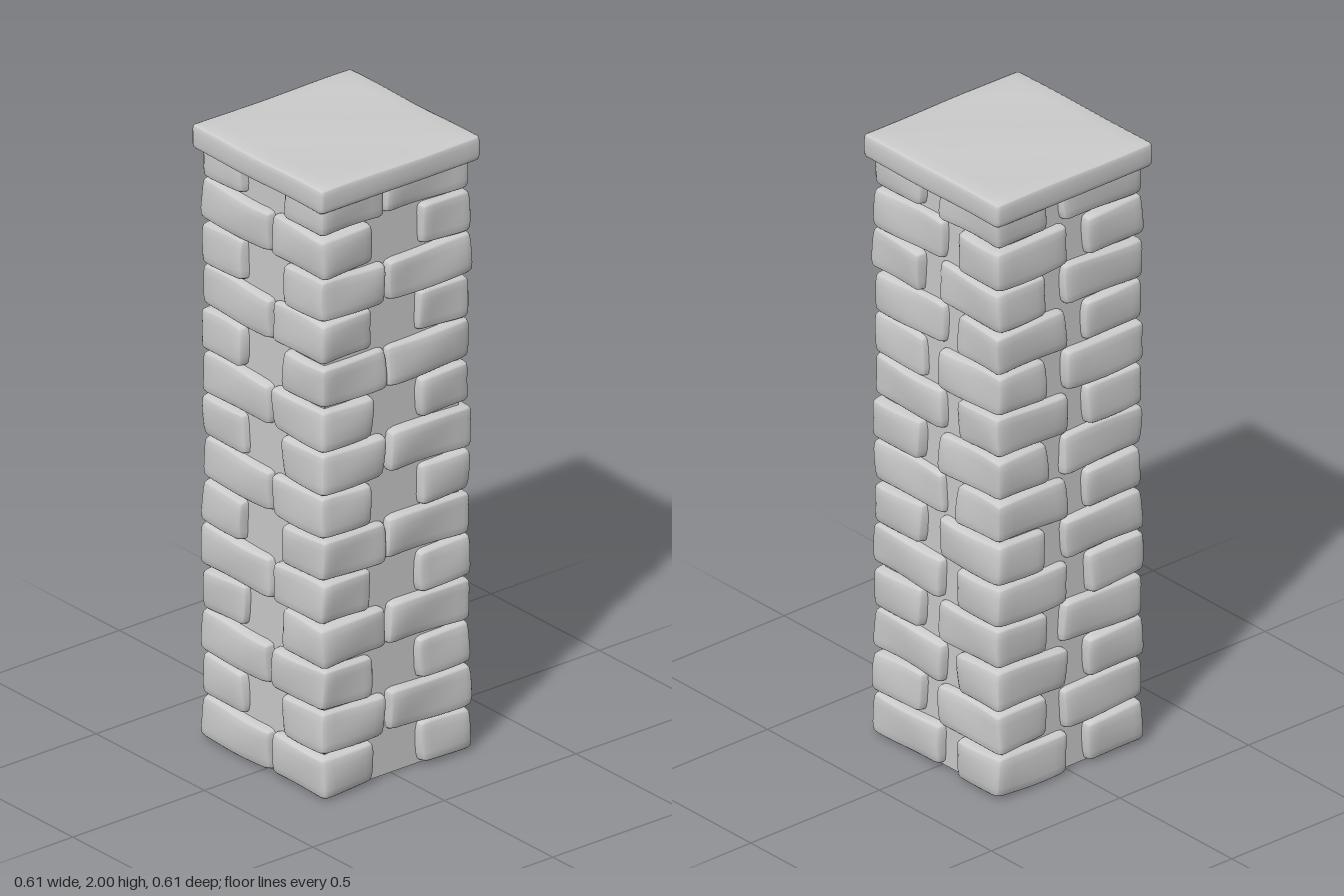
import * as THREE from 'three';
import { mergeVertices } from 'three/addons/utils/BufferGeometryUtils.js';

const COURSES = 14;
const PITCH = 0.1403;
const HALF = 0.286;

// Small seeded generator, returns -1..1
function makeRandom(seed) {
  let s = seed;
  return () => {
    s = (s * 16807) % 2147483647;
    return (s / 2147483647) * 2 - 1;
  };
}

// Hand-worn stone block: box vertices crowded towards the edges, rounded, then gently waved
function stoneGeometry(w, h, d, radius, wobble, phase) {
  let geo = new THREE.BoxGeometry(2, 2, 2, 10, 6, 10);
  geo.deleteAttribute('uv');
  geo.deleteAttribute('normal');
  geo = mergeVertices(geo);
  const half = new THREE.Vector3(w / 2, h / 2, d / 2);
  const inner = half.clone().subScalar(radius);
  const outer = inner.clone().negate();
  const pos = geo.attributes.position;
  const p = new THREE.Vector3();
  const c = new THREE.Vector3();
  for (let i = 0; i < pos.count; i++) {
    p.fromBufferAttribute(pos, i);
    p.set(Math.sin(p.x * Math.PI / 2), Math.sin(p.y * Math.PI / 2), Math.sin(p.z * Math.PI / 2));
    p.multiply(half);
    c.copy(p).clamp(outer, inner);
    p.sub(c).setLength(radius).add(c);
    const { x, y, z } = p;
    p.x += wobble * Math.sin(13 * z + 22 * y + phase);
    p.y += wobble * Math.sin(15 * x + 12 * z + phase * 1.7);
    p.z += wobble * Math.sin(14 * x - 20 * y + phase * 2.3);
    pos.setXYZ(i, p.x, p.y, p.z);
  }
  geo.computeVertexNormals();
  return geo;
}

export function createModel() {
  const group = new THREE.Group();
  const stone = new THREE.MeshStandardMaterial({ color: 0xcccccc });
  const random = makeRandom(4711);

  const add = (parent, name, geo, x, y, z) => {
    const mesh = new THREE.Mesh(geo, stone);
    mesh.name = name;
    mesh.position.set(x, y, z);
    parent.add(mesh);
  };

  // Mortar core, set back behind the bricks
  add(group, 'core', new THREE.BoxGeometry(0.51, 1.92, 0.51), 0, 0.965, 0);

  // Corner bricks of one course: corner signs, then length along x and z
  const corners = [
    [1, 1, 0.25, 0.2],
    [-1, 1, 0.318, 0.22],
    [1, -1, 0.31, 0.195],
    [-1, -1, 0.2, 0.28],
  ];

  // Alternate courses are mirrored across the diagonal
  for (let row = 0; row < COURSES; row++) {
    const course = new THREE.Group();
    course.name = `course${row + 1}`;
    for (const [sx, sz, lx, lz] of corners) {
      const [ax, az, w, d] = row % 2 ? [sz, sx, lz, lx] : [sx, sz, lx, lz];
      const width = w + 0.004 * random();
      const depth = d + 0.004 * random();
      const edge = HALF + 0.004 * random();
      const geo = stoneGeometry(width, PITCH - 0.005, depth, 0.025, 0.004, 3 * random());
      add(course, 'brick', geo,
        ax * (edge - width / 2), 0.004 + PITCH * (row + 0.5), az * (edge - depth / 2));
    }
    group.add(course);
  }

  // Overhanging cap slab
  add(group, 'cap', stoneGeometry(0.608, 0.082, 0.61, 0.018, 0.0012, 1), 0, 1.958, 0);

  return group;
}
